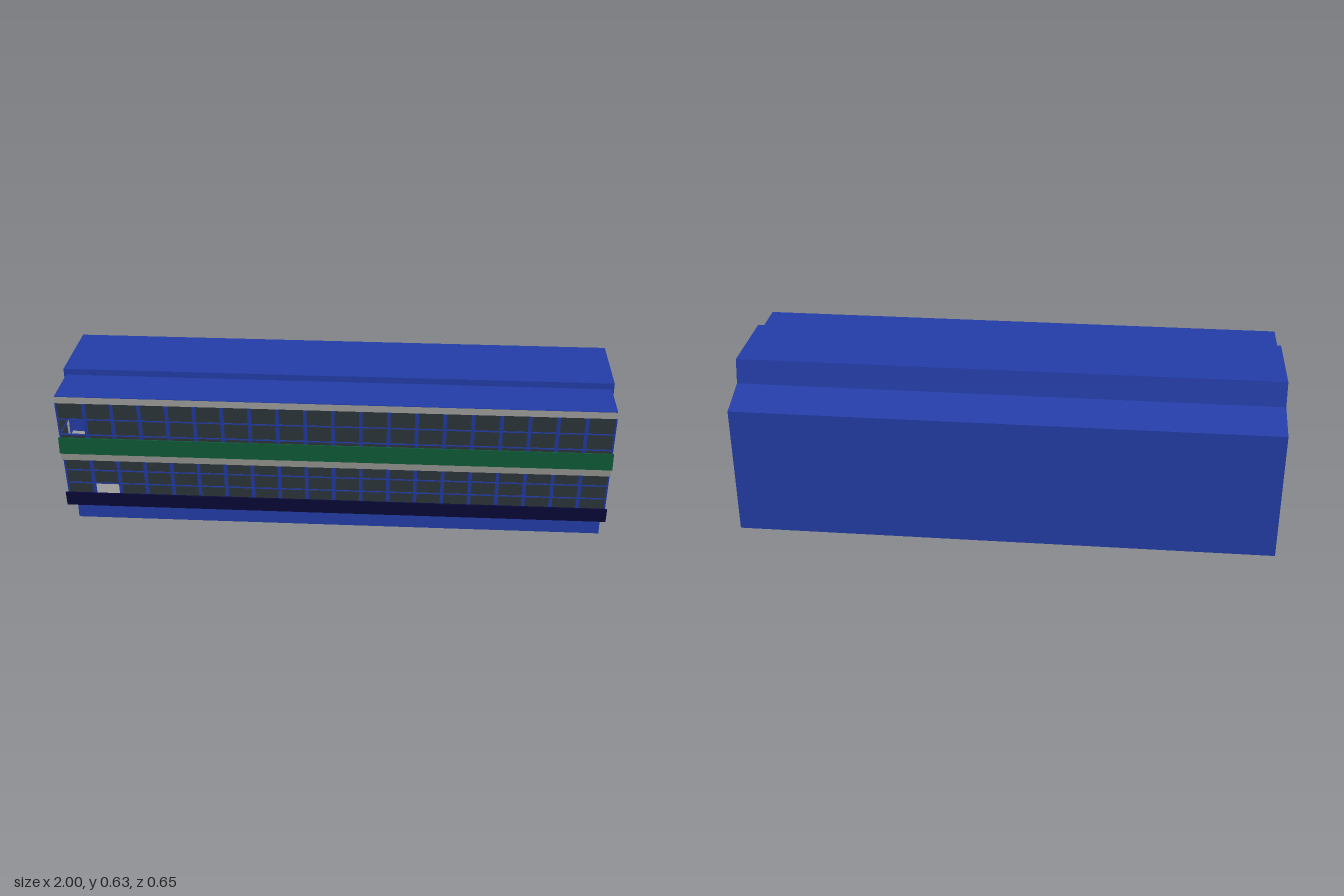
import * as THREE from 'three';

const mat = (name, color, side = THREE.FrontSide) => {
  const m = new THREE.MeshStandardMaterial({ color, side });
  m.name = name;
  return m;
};

export function createModel() {
  const blue = mat('blue paint', 0x233ca6);
  const grey = mat('concrete grey', 0x9c9c99);
  const glass = mat('dark glass', 0x2f383d, THREE.DoubleSide);
  const green = mat('green panel', 0x0e5a37);
  const navy = mat('navy panel', 0x09093a);

  const model = new THREE.Group();
  model.name = 'galleryBuilding';

  const add = (parent, name, geo, material, x = 0, y = 0, z = 0) => {
    const m = new THREE.Mesh(geo, material);
    m.name = name;
    m.position.set(x, y, z);
    parent.add(m);
    return m;
  };
  const outline = (pts) => new THREE.Shape(pts.map(([z, y]) => new THREE.Vector2(z, y)));
  // Profile in (z, y) swept along x, centred
  const prism = (pts, width) => new THREE.ExtrudeGeometry(outline(pts), { depth: width, bevelEnabled: false })
    .translate(0, 0, -width / 2).rotateY(-Math.PI / 2);

  const WALL = 0.143;   // z of the main front wall
  const X = 0.99;       // half length of the gallery

  // Main block with its stepped, sloping back roof
  add(model, 'mainBlock', prism([
    [-0.323, 0], [WALL, 0], [WALL, 0.633], [-0.167, 0.633], [-0.184, 0.542], [-0.323, 0.497],
  ], 2), blue);

  // Gallery slabs
  const slab = (name, y0, y1, z0, z1) =>
    add(model, name, prism([[WALL, y0], [z0, y0], [z1, y1], [WALL, y1]], 2 * X + 0.004), grey);
  slab('lowerFloor', 0.143, 0.173, 0.285, 0.288);
  slab('upperFloor', 0.347, 0.377, 0.313, 0.318);
  slab('galleryRoof', 0.583, 0.608, 0.323, 0.323);
  add(model, 'roofCover', new THREE.BoxGeometry(2 * X + 0.004, 0.002, 0.18), blue, 0, 0.609, 0.233);

  // Parapets
  add(model, 'upperParapet', new THREE.BoxGeometry(1.99, 0.065, 0.005), green, 0, 0.4075, 0.316);
  add(model, 'lowerParapet', prism([[0.285, 0.143], [0.291, 0.143], [0.298, 0.2], [0.292, 0.2]], 1.992), navy);

  // One glazed storey: leaning front, two end walls, glazing bars
  function storey(name, rows, z0, z1, openCol, openRow, endBar) {
    const g = new THREE.Group();
    g.name = name;
    model.add(g);
    const y0 = rows[0], y1 = rows[rows.length - 1];
    const lean = Math.atan2(z1 - z0, y1 - y0);
    const zAt = (y) => z0 + (z1 - z0) * (y - y0) / (y1 - y0);
    const cols = 20, step = 2 * X / cols;

    // Front panes, leaving one open
    for (let r = 0; r < rows.length - 1; r++) {
      const h = rows[r + 1] - rows[r], yc = (rows[r] + rows[r + 1]) / 2;
      const pane = (xa, xb) => {
        if (xb - xa < 0.001) return;
        add(g, 'frontGlass', new THREE.PlaneGeometry(xb - xa, h / Math.cos(lean)), glass,
          (xa + xb) / 2, yc, zAt(yc)).rotation.x = lean;
      };
      if (r === openRow) {
        pane(-X, -X + openCol * step);
        pane(-X + (openCol + 1) * step, X);
      } else pane(-X, X);
    }
    // Front bars
    const ym = (y0 + y1) / 2;
    for (let c = 0; c <= cols; c++) {
      const w = c % cols ? 0.013 : 0.006;
      add(g, 'mullion', new THREE.BoxGeometry(w, (y1 - y0) / Math.cos(lean), 0.004), blue,
        -X + c * step, ym, zAt(ym)).rotation.x = lean;
    }
    for (const y of rows.slice(0, -1)) {
      add(g, 'crossBar', new THREE.BoxGeometry(2 * X, 0.005, 0.004), blue, 0, y + 0.001, zAt(y));
    }
    // End walls
    for (const s of [-1, 1]) {
      const shape = outline([[WALL, y0], [z0, y0], [z1, y1], [WALL, y1]]);
      if (s < 0 && endBar) {
        shape.holes.push(outline([[0.146, y0 + 0.004], [0.146, rows[1]], [0.215, rows[1]], [0.205, y0 + 0.004]]));
      }
      add(g, 'endGlass', new THREE.ShapeGeometry(shape).rotateY(-Math.PI / 2), glass, s * X);
      for (const y of rows.slice(0, -1)) {
        add(g, 'endBar', new THREE.BoxGeometry(0.004, 0.005, zAt(y) - WALL), blue,
          s * X, y + 0.001, (zAt(y) + WALL) / 2);
      }
      if (endBar) {
        add(g, 'endMullion', prism([[0.203, y0], [0.208, y0], [0.238, y1], [0.233, y1]], 0.004), blue, s * X);
      }
    }
  }
  storey('lowerStorey', [0.173, 0.23, 0.288, 0.347], 0.267, 0.289, 1, 0, false);
  storey('upperStorey', [0.377, 0.448, 0.515, 0.583], 0.296, 0.323, 0, 1, true);

  // Open sash folded inward at the upper left opening
  add(model, 'openSash', new THREE.BoxGeometry(0.092, 0.004, 0.05), navy, -0.94, 0.506, 0.282).rotation.x = -0.3;

  return model;
}
